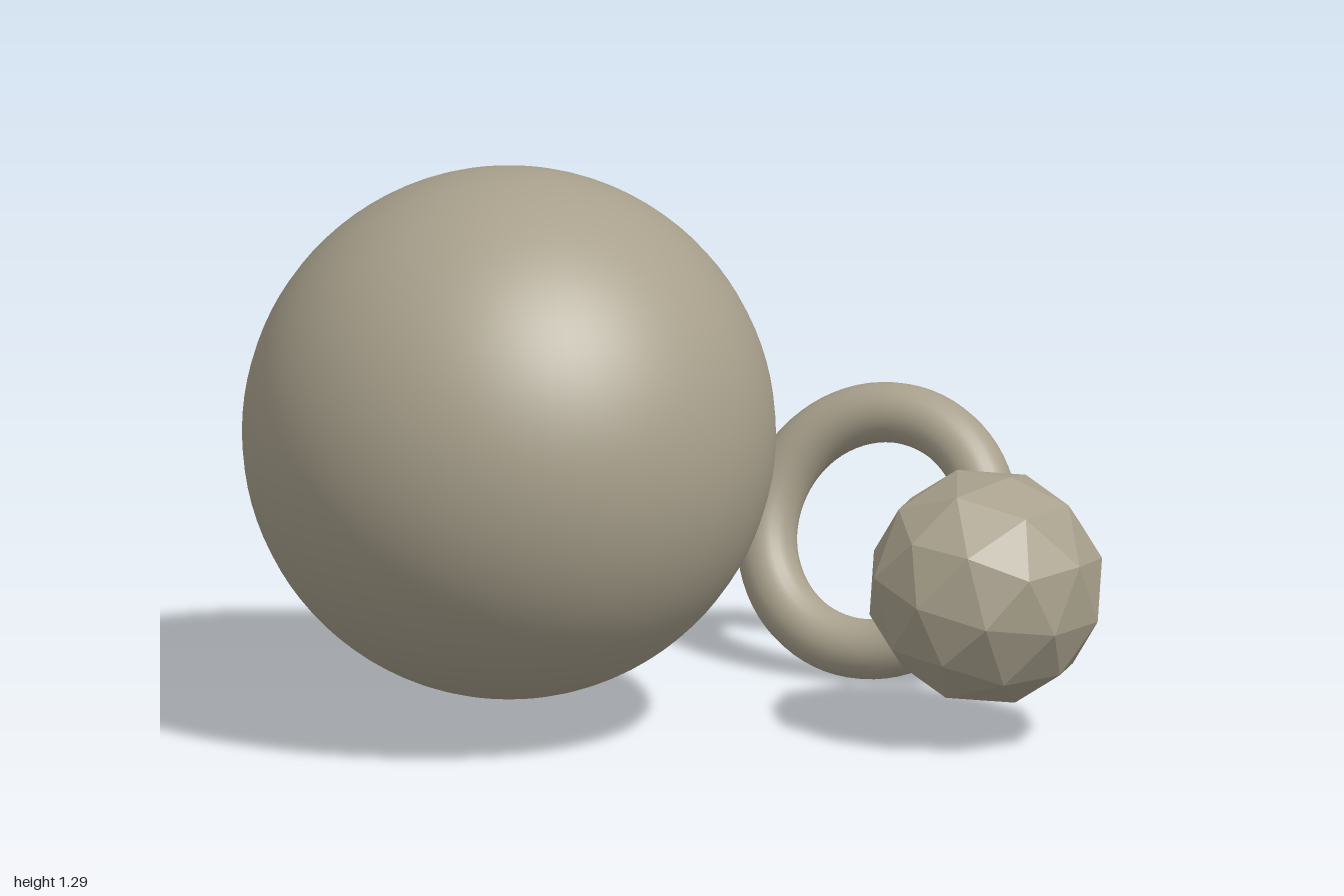
import * as THREE from 'three';
import { RoundedBoxGeometry } from 'three/addons/geometries/RoundedBoxGeometry.js';

export function createModel() {
  const group = new THREE.Group();

  const clay = new THREE.MeshStandardMaterial({ color: 0xa8a08c });
  clay.name = 'warm grey clay';
  const facetedClay = clay;

  const add = (name, geometry, position, material = clay) => {
    const mesh = new THREE.Mesh(geometry, material);
    mesh.name = name;
    mesh.position.set(...position);
    group.add(mesh);
    return mesh;
  };

  // Large smooth ball
  add('largeBall', new THREE.SphereGeometry(0.6, 64, 48), [-0.15, 0.69, 0.285]);

  // Faceted ball: the geometry is unindexed, so its own normals are made flat
  const facets = new THREE.IcosahedronGeometry(0.27, 1);
  facets.rotateZ(0.3).rotateY(0.1);
  facets.computeVertexNormals();
  add('facetedBall', facets, [0.73, 0.36, -0.335], facetedClay);

  // Tilted ring, its axis leaning up and to the left
  const ring = add('ring', new THREE.TorusGeometry(0.27, 0.068, 24, 72), [0.085, 0.32, -0.71]);
  const axis = new THREE.Vector3(0.26, 0.37, 0.89).normalize();
  ring.quaternion.setFromUnitVectors(new THREE.Vector3(0, 0, 1), axis);

  // Tumbled cube with rounded edges, turned by its own three axes
  const cube = add('roundedCube', new RoundedBoxGeometry(0.42, 0.42, 0.42, 3, 0.045), [-0.723, 0.335, -0.573]);
  const right = new THREE.Vector3(0.94, -0.28, -0.19).normalize();
  const front = right.clone().cross(new THREE.Vector3(0.33, 0.914, 0.23)).normalize();
  const up = front.clone().cross(right);
  cube.quaternion.setFromRotationMatrix(new THREE.Matrix4().makeBasis(right, up, front));

  return group;
}
